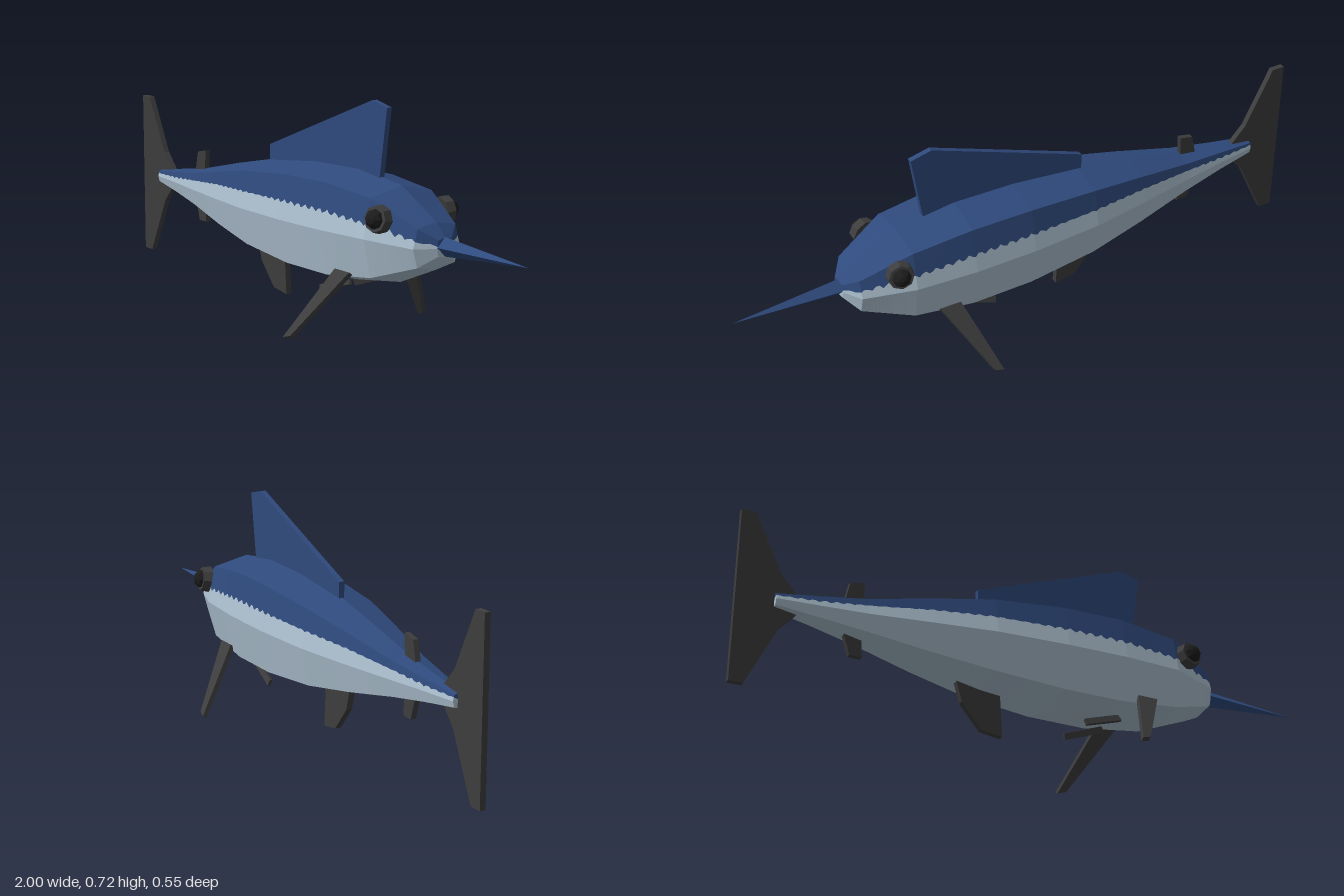
import * as THREE from 'three';

const mat = (name, color) => {
  const m = new THREE.MeshStandardMaterial({ color, flatShading: true });
  m.name = name;
  return m;
};

// Body stations: x, top y, bottom y, half width, height of the colour border
const STATIONS = [
  [-0.88, 0.324, 0.322, 0.001, 0.323],
  [-0.879, 0.346, 0.3, 0.025, 0.334],
  [-0.75, 0.364, 0.28, 0.042, 0.338],
  [-0.6, 0.387, 0.253, 0.065, 0.35],
  [-0.4, 0.432, 0.21, 0.102, 0.368],
  [-0.2, 0.472, 0.174, 0.135, 0.378],
  [0.04, 0.498, 0.152, 0.152, 0.384],
  [0.25, 0.503, 0.153, 0.155, 0.386],
  [0.45, 0.478, 0.183, 0.143, 0.375],
  [0.61, 0.392, 0.25, 0.088, 0.345],
  [0.648, 0.352, 0.293, 0.03, 0.328],
  [0.65, 0.323, 0.321, 0.001, 0.322],
];

// Joins open cross-sections into a skin
function loft(rings) {
  const n = rings[0].length, index = [];
  for (let i = 0; i < rings.length - 1; i++) {
    for (let j = 0; j < n - 1; j++) {
      const a = i * n + j, b = a + 1, c = a + n, d = c + 1;
      index.push(a, c, b, b, c, d);
    }
  }
  const g = new THREE.BufferGeometry();
  g.setAttribute('position', new THREE.Float32BufferAttribute(rings.flat(2), 3));
  g.setIndex(index);
  g.computeVertexNormals();
  return g;
}

// Eight-sided body, split along a ragged border into back and belly
function bodySkins() {
  const back = [], belly = [];
  const addRing = ([x, top, bottom, w, border]) => {
    const mid = (top + bottom) / 2, h = (top - bottom) / 2;
    const jag = 0.005 * Math.sin(x * 170) + 0.004 * Math.sin(x * 397 + 1);
    const t = THREE.MathUtils.clamp((border + jag * Math.min(1, h * 9) - mid) / (0.81 * h), 0.02, 0.98);
    const upper = s => [x, mid + 0.81 * h, s * 0.82 * w];
    const edge = s => [x, mid + t * 0.81 * h, s * w * (1 - 0.18 * t)];
    const side = s => [x, mid, s * w];
    const lower = s => [x, mid - 0.81 * h, s * 0.82 * w];
    back.push([edge(1), upper(1), [x, top, 0], upper(-1), edge(-1)]);
    belly.push([edge(-1), side(-1), lower(-1), [x, bottom, 0], lower(1), side(1), edge(1)]);
  };
  for (let i = 0; i < STATIONS.length - 1; i++) {
    const a = STATIONS[i], b = STATIONS[i + 1];
    const steps = Math.max(1, Math.round((b[0] - a[0]) / 0.011));
    for (let k = 0; k < steps; k++) addRing(a.map((v, j) => v + (b[j] - v) * k / steps));
  }
  addRing(STATIONS[STATIONS.length - 1]);
  return [loft(back), loft(belly)];
}

// Flat fin of even thickness, centred on its own plane
function plate(points, thickness) {
  const shape = new THREE.Shape(points.map(([x, y]) => new THREE.Vector2(x, y)));
  const g = new THREE.ExtrudeGeometry(shape, { depth: thickness, bevelEnabled: false });
  return g.translate(0, 0, -thickness / 2);
}

export function createModel() {
  const blue = mat('back blue', 0x2f4a7d);
  const silver = mat('belly silver', 0xacc0cf);
  const grey = mat('fin grey', 0x3d3d3d);
  const black = mat('eye black', 0x1c1c1c);

  const model = new THREE.Group();
  model.name = 'fish';
  const add = (name, geometry, material, parent = model) => {
    const m = new THREE.Mesh(geometry, material);
    m.name = name;
    parent.add(m);
    return m;
  };

  // Body and bill
  const [back, belly] = bodySkins();
  add('bodyBack', back, blue);
  add('bodyBelly', belly, silver);
  const bill = new THREE.ConeGeometry(0.031, 0.37, 4);
  add('bill', bill.rotateZ(-Math.PI / 2).translate(0.81, 0.325, 0), blue);

  // Fins on the centre line
  add('dorsalFin', plate([[-0.21, 0.455], [0.355, 0.47], [0.39, 0.702], [0.32, 0.718], [-0.21, 0.52]], 0.018), blue);
  add('tailFin', plate([[-1, 0.04], [-0.955, 0.04], [-0.86, 0.235], [-0.8, 0.3], [-0.8, 0.345],
    [-0.86, 0.41], [-0.955, 0.6], [-1, 0.6]], 0.019), grey);
  add('analFin', plate([[-0.285, 0.21], [-0.26, 0.125], [-0.19, 0.045], [-0.12, 0.035], [-0.13, 0.19]], 0.02), grey);
  add('upperFinlet', plate([[-0.66, 0.36], [-0.6, 0.36], [-0.594, 0.45], [-0.642, 0.44]], 0.018), grey);
  add('lowerFinlet', plate([[-0.66, 0.28], [-0.635, 0.2], [-0.594, 0.2], [-0.6, 0.28]], 0.018), grey);

  // Paired fins and eyes
  for (const s of [1, -1]) {
    const label = s > 0 ? 'left' : 'right';

    const pectoral = add(label + 'PectoralFin',
      plate([[0.3, 0.005], [0.225, -0.245], [0.255, -0.235], [0.37, 0.005]], 0.016), grey);
    pectoral.position.set(0, 0.207, s * 0.13);
    pectoral.rotation.x = -s * 0.594;

    const pelvic = add(label + 'PelvicFin',
      plate([[0.27, 0.005], [0.14, -0.042], [0.145, -0.063], [0.28, -0.015]], 0.01), grey);
    pelvic.position.set(0, 0.165, s * 0.052);
    pelvic.rotation.x = -s * 0.32;

    const eye = new THREE.Group();
    eye.name = label + 'Eye';
    eye.position.set(0.5, 0.398, s * 0.13);
    eye.rotation.set(-s * 0.15, s * 0.2, 0);
    model.add(eye);
    const socket = new THREE.CylinderGeometry(0.04, 0.044, 0.03, 8).rotateX(s * Math.PI / 2);
    add('eyeSocket', socket, grey, eye);
    const ball = new THREE.SphereGeometry(0.032, 8, 6).rotateX(Math.PI / 2);
    add('eyeball', ball.translate(0, 0, s * 0.009), black, eye);
  }
  return model;
}
